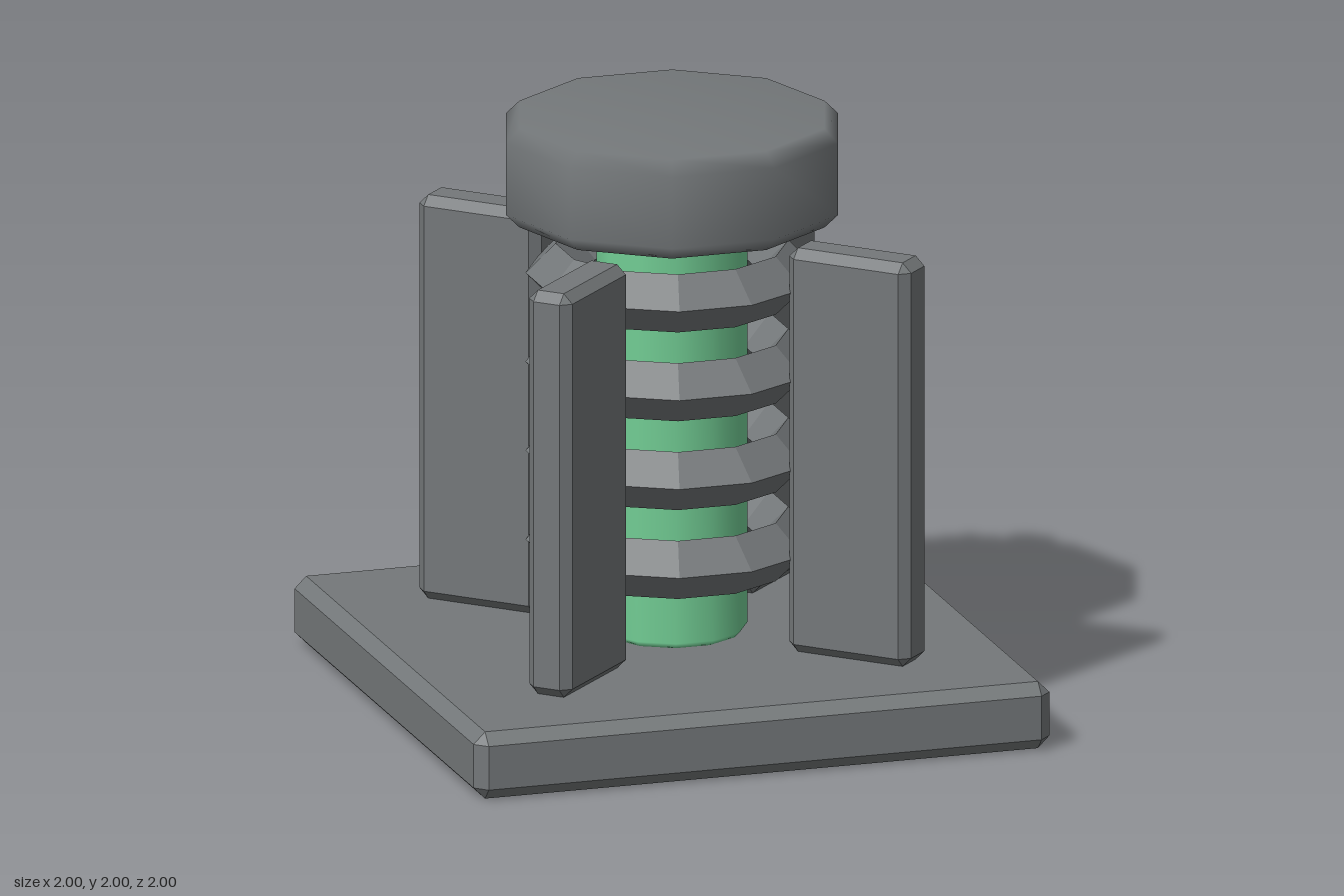
import * as THREE from 'three';
import { mergeVertices } from 'three/addons/utils/BufferGeometryUtils.js';
import { ConvexGeometry } from 'three/addons/geometries/ConvexGeometry.js';

const metal = new THREE.MeshStandardMaterial({ color: 0x74787a });
metal.name = 'grey metal';
const glow = new THREE.MeshStandardMaterial({ color: 0x72cd94 });
glow.name = 'green core';

// Box with every edge cut at 45 degrees
function chamferBox(w, h, d, c) {
  const points = [];
  for (const sx of [-1, 1]) for (const sy of [-1, 1]) for (const sz of [-1, 1])
    for (let axis = 0; axis < 3; axis++) {
      const inset = [c, c, c];
      inset[axis] = 0;
      points.push(new THREE.Vector3(
        sx * (w / 2 - inset[0]), sy * (h / 2 - inset[1]), sz * (d / 2 - inset[2])));
    }
  return new ConvexGeometry(points);
}

// Closed prism with bevelled rims and area-weighted smooth normals
function bevelPrism(radius, y0, y1, bevel, sides, phase) {
  const profile = [
    [0, y0], [radius - bevel, y0], [radius, y0 + bevel],
    [radius, y1 - bevel], [radius - bevel, y1], [0, y1],
  ].map(([x, y]) => new THREE.Vector2(x, y));
  let geo = new THREE.LatheGeometry(profile, sides, phase);
  geo.deleteAttribute('uv');
  geo.deleteAttribute('normal');
  geo = mergeVertices(geo, 1e-4);
  geo.computeVertexNormals();
  return geo;
}

export function createModel() {
  const model = new THREE.Group();
  const add = (name, geo, mat, parent = model) => {
    const mesh = new THREE.Mesh(geo, mat);
    mesh.name = name;
    parent.add(mesh);
    return mesh;
  };

  // Square foot
  add('base', chamferBox(2, 0.23, 2, 0.04), metal).position.y = 0.115;

  // Twelve-sided core, flat side to the front
  add('core', bevelPrism(0.25, 0.23, 1.68, 0.02, 12, Math.PI / 12), glow);

  // Ten-sided cap, a corner on each side
  add('cap', bevelPrism(0.577, 1.66, 2, 0.047, 10, Math.PI / 2), metal);

  // Diamond-section rings around the core
  const ringGeo = new THREE.TorusGeometry(0.385, 0.1, 4, 12)
    .rotateX(Math.PI / 2).rotateY(Math.PI / 12).toNonIndexed();
  ringGeo.computeVertexNormals();
  for (let i = 0; i < 4; i++)
    add('ring', ringGeo, metal).position.y = 0.545 + i * 0.306;

  // Four upright fins on the diagonals
  const finGeo = chamferBox(0.452, 1.39, 0.16, 0.032).translate(0.686, 0.925, 0);
  for (let i = 0; i < 4; i++)
    add('fin', finGeo, metal).rotation.y = Math.PI / 4 + i * Math.PI / 2;

  return model;
}
